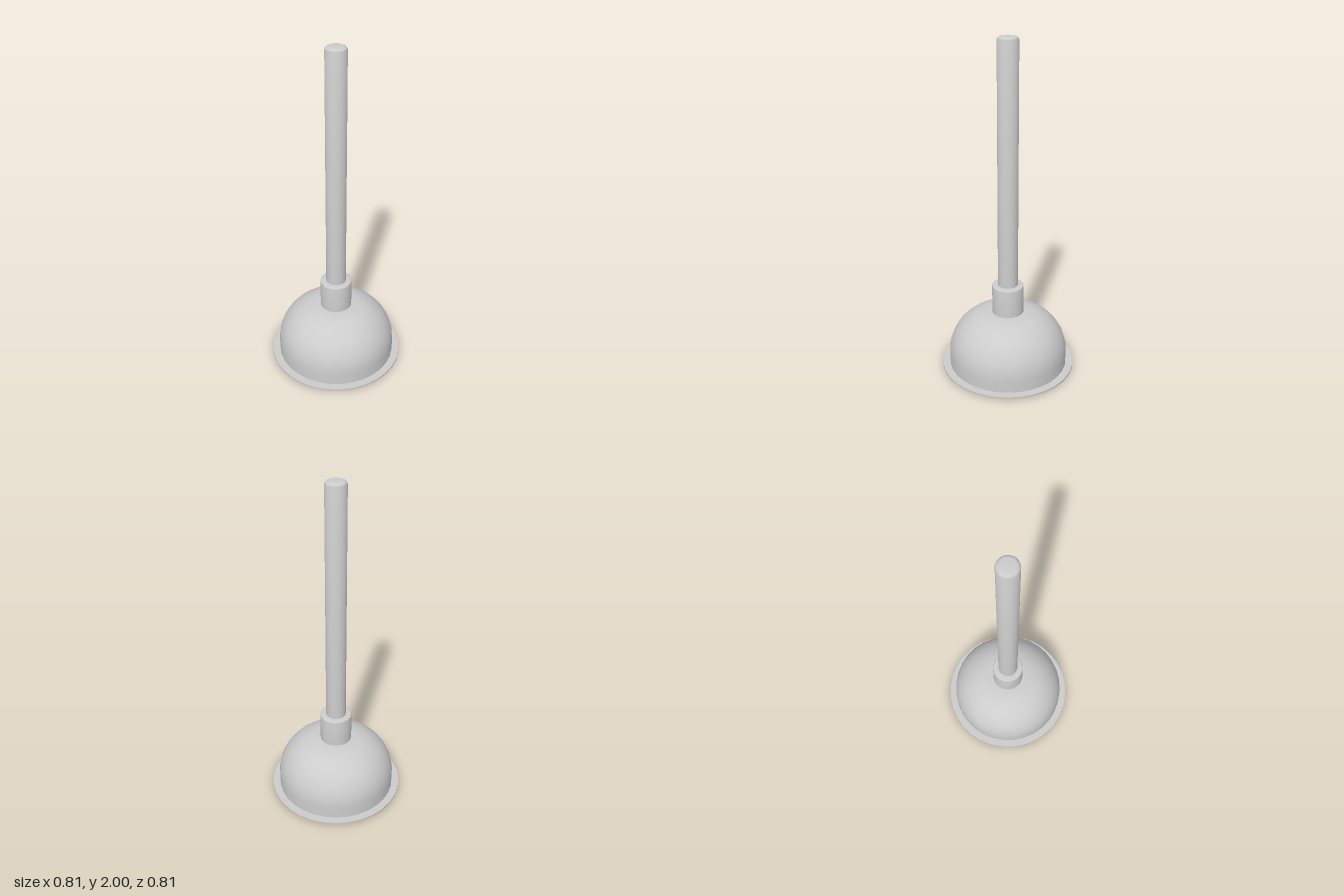
import * as THREE from 'three';
import { toCreasedNormals } from 'three/addons/utils/BufferGeometryUtils.js';

const SEGMENTS = 32;

// Quarter arc of profile points, from angle a to b in degrees
function arc(cx, cy, r, a, b, steps) {
  return Array.from({ length: steps + 1 }, (_, i) => {
    const t = THREE.MathUtils.degToRad(a + ((b - a) * i) / steps);
    return [cx + r * Math.cos(t), cy + r * Math.sin(t)];
  });
}

// Turned part, smooth except at sharp profile corners
function turned(name, profile) {
  const points = profile.map(([x, y]) => new THREE.Vector2(Math.max(x, 0), y));
  const geometry = toCreasedNormals(new THREE.LatheGeometry(points, SEGMENTS), 0.7);
  const material = new THREE.MeshStandardMaterial({ color: 0xcccccc, side: THREE.DoubleSide });
  const mesh = new THREE.Mesh(geometry, material);
  mesh.name = name;
  return mesh;
}

export function createModel() {
  const group = new THREE.Group();
  group.name = 'plunger';

  // Hollow rubber cup with a thin flat rim: inner wall, rim, outer wall
  group.add(turned('cup', [
    [0, 0.33],
    ...arc(0.09, 0.085, 0.245, 90, 0, 12),
    [0.335, 0],
    [0.405, 0],
    [0.405, 0.012],
    [0.36, 0.012],
    ...arc(0.09, 0.085, 0.27, 0, 90, 12),
    [0, 0.355],
  ]));

  // Collar gripping the handle
  group.add(turned('collar', [
    [0.095, 0.35],
    ...arc(0.087, 0.527, 0.008, 0, 90, 3),
    [0.05, 0.535],
  ]));

  // Long handle with a rounded end
  group.add(turned('handle', [
    [0, 0.36],
    [0.06, 0.36],
    ...arc(0.04, 1.98, 0.02, 0, 90, 5),
    [0, 2],
  ]));

  return group;
}
